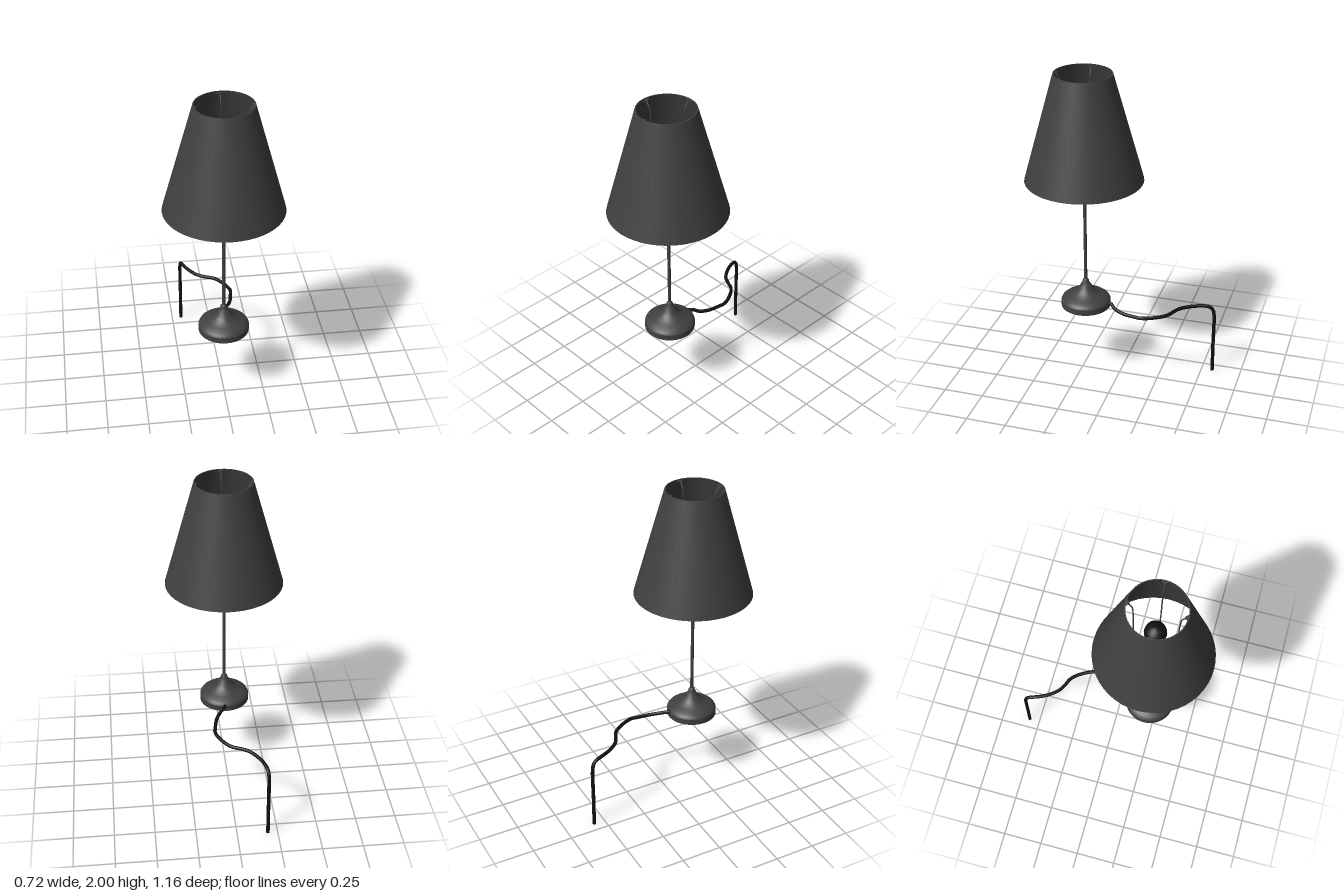
import * as THREE from 'three';

const material = (color) => new THREE.MeshStandardMaterial({ color, side: THREE.DoubleSide });
const dark = material(0x404040);
const black = material(0x111111);

const v3 = (p) => new THREE.Vector3(...p);

function part(name, geometry, mat, parent) {
  const mesh = new THREE.Mesh(geometry, mat);
  mesh.name = name;
  parent.add(mesh);
  return mesh;
}

// Each profile run is turned separately, so the edges between runs stay sharp
function turned(name, runs, mat, parent, segments = 40) {
  const group = new THREE.Group();
  group.name = name;
  for (const run of runs) {
    const points = run.map(([r, y]) => new THREE.Vector2(r, y));
    part(name + 'Surface', new THREE.LatheGeometry(points, segments), mat, group);
  }
  parent.add(group);
}

export function createModel() {
  const model = new THREE.Group();
  model.name = 'tableLamp';
  const lamp = new THREE.Group();
  lamp.name = 'lamp';
  lamp.position.z = 0.22;
  model.add(lamp);

  // Weighted base: flat foot, upright side, curved shoulder and neck
  turned('base', [
    [[0, 0.475], [0.155, 0.475]],
    [[0.155, 0.475], [0.155, 0.512]],
    [[0.155, 0.512], [0.148, 0.525], [0.132, 0.538], [0.105, 0.548], [0.08, 0.561],
      [0.06, 0.577], [0.043, 0.598], [0.03, 0.622]],
    [[0.03, 0.622], [0.022, 0.626], [0.019, 0.648], [0.01, 0.658]],
  ], dark, lamp);

  // Pole
  const pole = part('pole', new THREE.CylinderGeometry(0.01, 0.01, 0.85, 16), dark, lamp);
  pole.position.y = 1.075;

  // Bulb socket and bulb
  turned('socket', [
    [[0, 1.47], [0.036, 1.47]],
    [[0.036, 1.47], [0.036, 1.55]],
    [[0.036, 1.55], [0, 1.55]],
  ], dark, lamp, 24);
  turned('bulb', [[[0.028, 1.55], [0.03, 1.58], [0.045, 1.61], [0.06, 1.64], [0.065, 1.67],
    [0.06, 1.7], [0.045, 1.722], [0.022, 1.735], [0, 1.738]]], black, lamp, 32);

  // Thin-walled shade, open at both ends
  turned('shade', [
    [[0.36, 1.335], [0.175, 2]],
    [[0.175, 2], [0.169, 2]],
    [[0.169, 2], [0.354, 1.335]],
    [[0.354, 1.335], [0.36, 1.335]],
  ], dark, lamp, 48);

  // Four wire arms from the socket to clips on the top rim
  const armCurve = new THREE.CatmullRomCurve3(
    [[0.03, 1.5, 0], [0.09, 1.51, 0], [0.12, 1.58, 0], [0.13, 1.85, 0], [0.14, 1.95, 0], [0.168, 1.985, 0]].map(v3));
  const clipShape = new THREE.Shape();
  clipShape.moveTo(0.15, 0);
  clipShape.lineTo(0.171, 0.022);
  clipShape.lineTo(0.171, -0.022);
  clipShape.closePath();
  for (let i = 0; i < 4; i++) {
    const arm = new THREE.Group();
    arm.name = 'shadeArm';
    arm.rotation.y = i * Math.PI / 2;
    part('armWire', new THREE.TubeGeometry(armCurve, 32, 0.004, 8), dark, arm);
    const clip = part('armClip',
      new THREE.ExtrudeGeometry(clipShape, { depth: 0.008, bevelEnabled: false }), dark, arm);
    clip.rotation.x = -Math.PI / 2;
    clip.position.y = 1.985;
    lamp.add(arm);
  }

  // Cord: winds away behind the base, then hangs straight down
  const cordCurve = new THREE.CatmullRomCurve3([
    [0, 0.512, 0.09], [0.02, 0.51, 0.05], [0.05, 0.495, 0.015], [0.075, 0.486, -0.04],
    [0.09, 0.483, -0.12], [0.095, 0.483, -0.16], [0.08, 0.482, -0.21], [0.035, 0.481, -0.285],
    [0, 0.481, -0.318], [-0.045, 0.48, -0.338], [-0.09, 0.48, -0.365], [-0.125, 0.479, -0.405],
    [-0.155, 0.478, -0.455], [-0.175, 0.476, -0.505], [-0.185, 0.467, -0.542],
    [-0.189, 0.445, -0.56], [-0.19, 0.41, -0.567], [-0.19, 0.2, -0.568], [-0.19, 0, -0.569],
  ].map(v3), false, 'centripetal');
  part('cord', new THREE.TubeGeometry(cordCurve, 140, 0.011, 10), black, model);
  const cordEnd = part('cordEnd', new THREE.CircleGeometry(0.011, 10), black, model);
  cordEnd.rotation.x = Math.PI / 2;
  cordEnd.position.set(-0.19, 0, -0.569);

  return model;
}
